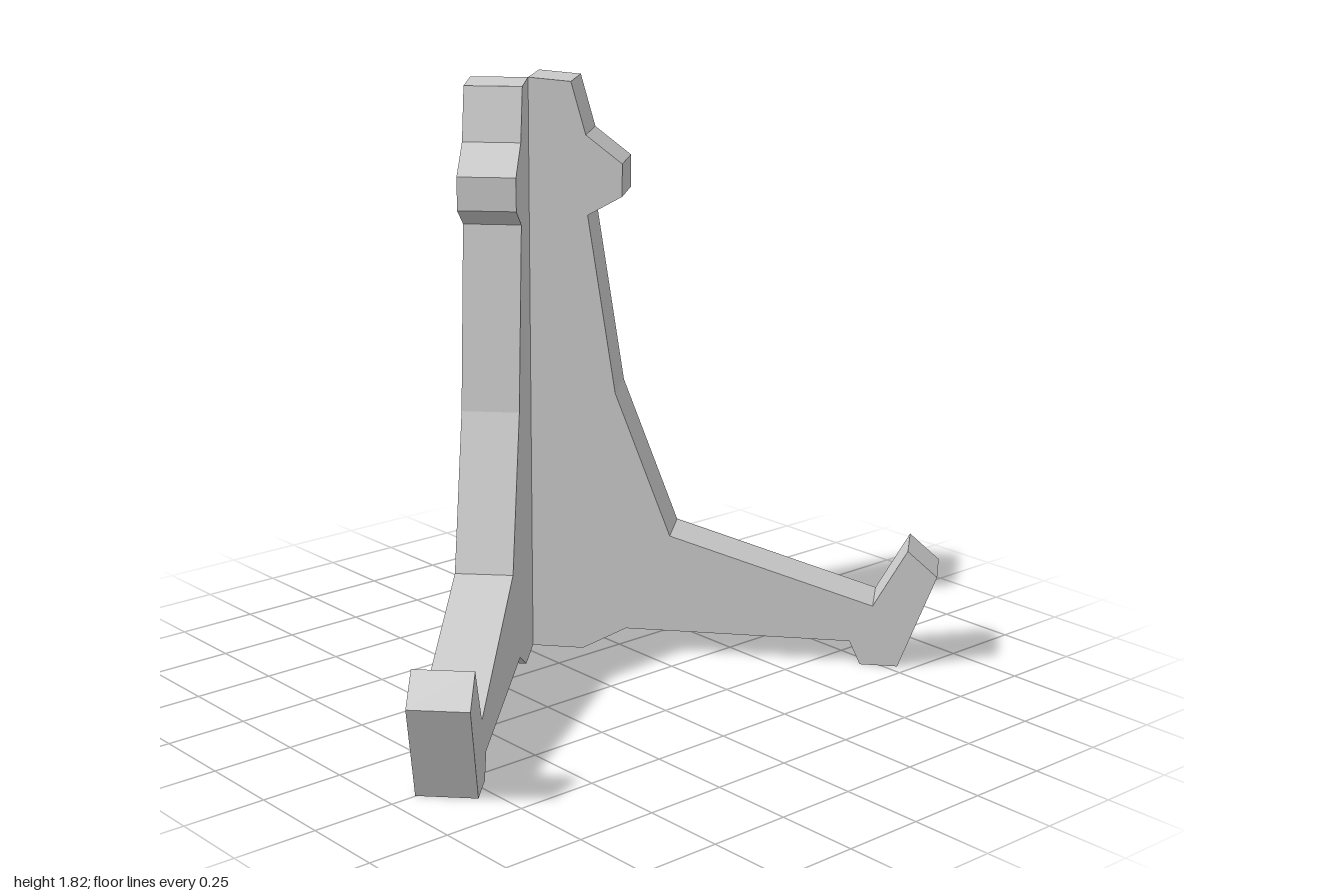
import * as THREE from 'three';

const THICKNESS = 0.175;
const HINGE = { x: 0.037, z: -0.425 }; // vertical edge shared by both panels

// Panel outline: distance from the hinge edge, height
const PROFILE = [
  [0, 0], [0.162, 0], [0.3, 0.075], [1.006, 0.075], [1.04, 0], [1.157, 0],
  [1.27, 0.3], [1.178, 0.38], [1.075, 0.195], [0.438, 0.39], [0.265, 0.845],
  [0.18, 1.4], [0.286, 1.46], [0.286, 1.56], [0.175, 1.645], [0.13, 1.805], [0, 1.815],
];

export function createModel() {
  const root = new THREE.Group();
  root.name = 'foldingDisplayStand';
  const material = new THREE.MeshStandardMaterial({ color: 0xcccccc, flatShading: true });

  const shape = new THREE.Shape(PROFILE.map(([u, y]) => new THREE.Vector2(u, y)));

  // One side panel, swung about the hinge edge along (dx, dz)
  function addPanel(name, dx, dz, zOffset) {
    const group = new THREE.Group();
    group.name = name;
    group.position.set(HINGE.x, 0, HINGE.z);
    group.rotation.y = -Math.atan2(dz, dx);
    const geometry = new THREE.ExtrudeGeometry(shape, { depth: THICKNESS, bevelEnabled: false });
    geometry.translate(0, 0, zOffset);
    const panel = new THREE.Mesh(geometry, material);
    panel.name = name + 'Plate';
    group.add(panel);
    root.add(group);
    return group;
  }

  addPanel('rightPanel', -0.723, 0.691, 0);
  const leftPanel = addPanel('leftPanel', 0.645, 0.764, -THICKNESS);

  // Two hinge lugs projecting behind the left panel, along its inner half
  const lugLength = 0.105;
  const lugWidth = THICKNESS / 2;
  for (const [name, bottom, top] of [['lowerHingeLug', 0.29, 0.7], ['upperHingeLug', 1.24, 1.645]]) {
    const lug = new THREE.Mesh(new THREE.BoxGeometry(lugLength, top - bottom, lugWidth), material);
    lug.name = name;
    lug.position.set(-lugLength / 2, (top + bottom) / 2, -lugWidth / 2);
    leftPanel.add(lug);
  }

  return root;
}
